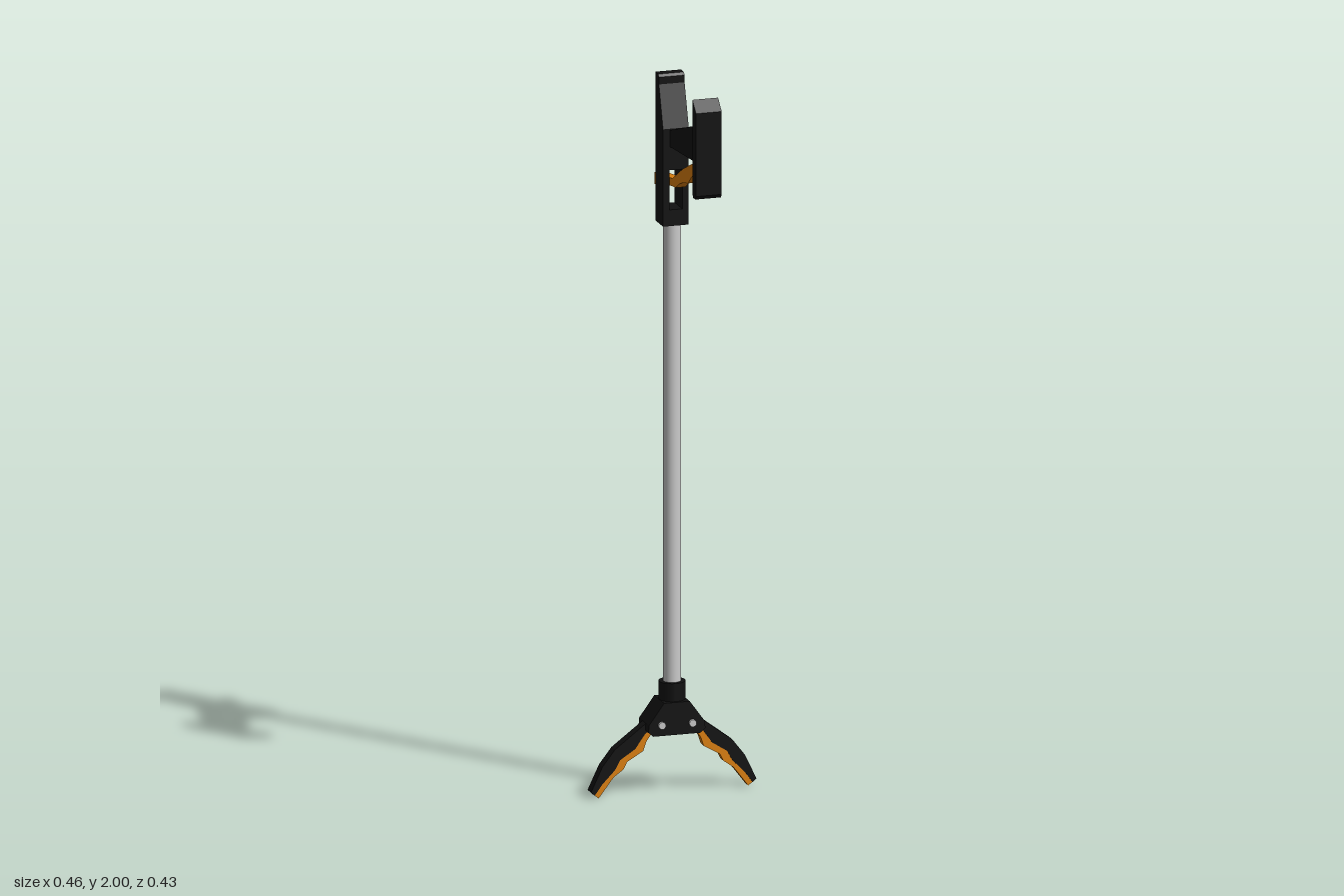
import * as THREE from 'three';

const AXIS_Z = -0.105; // depth of the pole axis

const black = new THREE.MeshStandardMaterial({ color: 0x111111 });
const orange = new THREE.MeshStandardMaterial({ color: 0xe0820f });
const grey = new THREE.MeshStandardMaterial({ color: 0xcccccc });

function toShape(points) {
  return new THREE.Shape(points.map(([a, b]) => new THREE.Vector2(a, b)));
}

// Extrude a front outline [x, y], centred on the given depth
function frontExtrude(shape, depth, z) {
  const geo = new THREE.ExtrudeGeometry(shape, { depth, bevelEnabled: false });
  return geo.translate(0, 0, z - depth / 2);
}

// Extrude a side outline [z, y] across x, centred on x = 0
function sideExtrude(points, width) {
  const geo = new THREE.ExtrudeGeometry(toShape(points), { depth: width, bevelEnabled: false });
  return geo.translate(0, 0, -width / 2).rotateY(-Math.PI / 2);
}

export function createModel() {
  const model = new THREE.Group();
  model.name = 'reachingGrabber';
  const add = (name, geo, mat, parent = model) => {
    const mesh = new THREE.Mesh(geo, mat);
    mesh.name = name;
    parent.add(mesh);
    return mesh;
  };

  // Pole
  const pole = new THREE.CylinderGeometry(0.024, 0.024, 1.34, 32);
  add('pole', pole.translate(0, 0.95, AXIS_Z), grey);

  // Handle post: slotted lower half and tapering upper half
  const lower = toShape([[-0.036, 1.58], [0.036, 1.58], [0.036, 1.8], [-0.036, 1.8]]);
  lower.holes.push(toShape([[-0.018, 1.625], [-0.018, 1.735], [0.018, 1.735], [0.018, 1.625]]));
  add('slottedPost', frontExtrude(lower, 0.068, AXIS_Z), black);
  add('postTop', sideExtrude([
    [-0.139, 1.8], [-0.071, 1.8], [-0.071, 1.85], [-0.107, 1.965], [-0.107, 1.985],
    [-0.113, 1.992], [-0.139, 1.992],
  ], 0.072), black);

  // Arm and end plate of the handle
  add('handleArm', sideExtrude([
    [-0.075, 1.8], [-0.075, 1.845], [0.19, 1.93], [0.19, 1.825], [0.15, 1.816],
  ], 0.034), black);
  add('endPlate', sideExtrude([
    [0.185, 1.74], [0.192, 1.73], [0.21, 1.73], [0.217, 1.74],
    [0.217, 1.97], [0.185, 2.0],
  ], 0.072), black);

  // Trigger with finger waves, passing through the slot
  add('trigger', sideExtrude([
    [0.19, 1.825], [0.11, 1.8], [0.03, 1.765], [-0.06, 1.715], [-0.215, 1.692],
    [-0.215, 1.658], [-0.14, 1.675], [-0.07, 1.692], [-0.03, 1.697], [0.0, 1.715],
    [0.03, 1.727], [0.075, 1.737], [0.11, 1.765], [0.14, 1.775], [0.165, 1.8],
  ], 0.027), orange);

  // Jaw housing
  const collar = new THREE.CylinderGeometry(0.036, 0.036, 0.07, 24);
  add('collar', collar.translate(0, 0.275, AXIS_Z), black);
  add('jawHousing', frontExtrude(toShape([
    [-0.066, 0.17], [0.066, 0.17], [0.08, 0.182], [0.078, 0.202],
    [0.036, 0.26], [-0.036, 0.26], [-0.078, 0.202], [-0.08, 0.182],
  ]), 0.086, AXIS_Z), black);

  // Jaws: black outer finger and orange wavy grip pad, with pivot pins
  const finger = [
    [0.045, 0.195], [0.075, 0.203], [0.165, 0.135], [0.2, 0.09], [0.232, 0.022],
    [0.222, 0.012], [0.2, 0.042], [0.165, 0.078], [0.15, 0.105], [0.108, 0.132], [0.08, 0.172],
  ];
  const pad = [
    [0.055, 0.18], [0.085, 0.178], [0.11, 0.137], [0.153, 0.108], [0.168, 0.08],
    [0.203, 0.045], [0.225, 0.016], [0.21, 0.003], [0.182, 0.04], [0.168, 0.058],
    [0.14, 0.078], [0.13, 0.098], [0.085, 0.124], [0.076, 0.15],
  ];
  for (const side of [1, -1]) {
    const jaw = new THREE.Group();
    jaw.name = side > 0 ? 'leftJaw' : 'rightJaw';
    model.add(jaw);
    const mirror = (pts) => toShape(pts.map(([x, y]) => [x * side, y]));
    add('finger', frontExtrude(mirror(finger), 0.03, AXIS_Z), black, jaw);
    add('gripPad', frontExtrude(mirror(pad), 0.026, AXIS_Z), orange, jaw);
    const pin = new THREE.CylinderGeometry(0.01, 0.01, 0.102, 16).rotateX(Math.PI / 2);
    add('pivotPin', pin.translate(side * 0.043, 0.2, AXIS_Z), grey, jaw);
  }

  return model;
}
